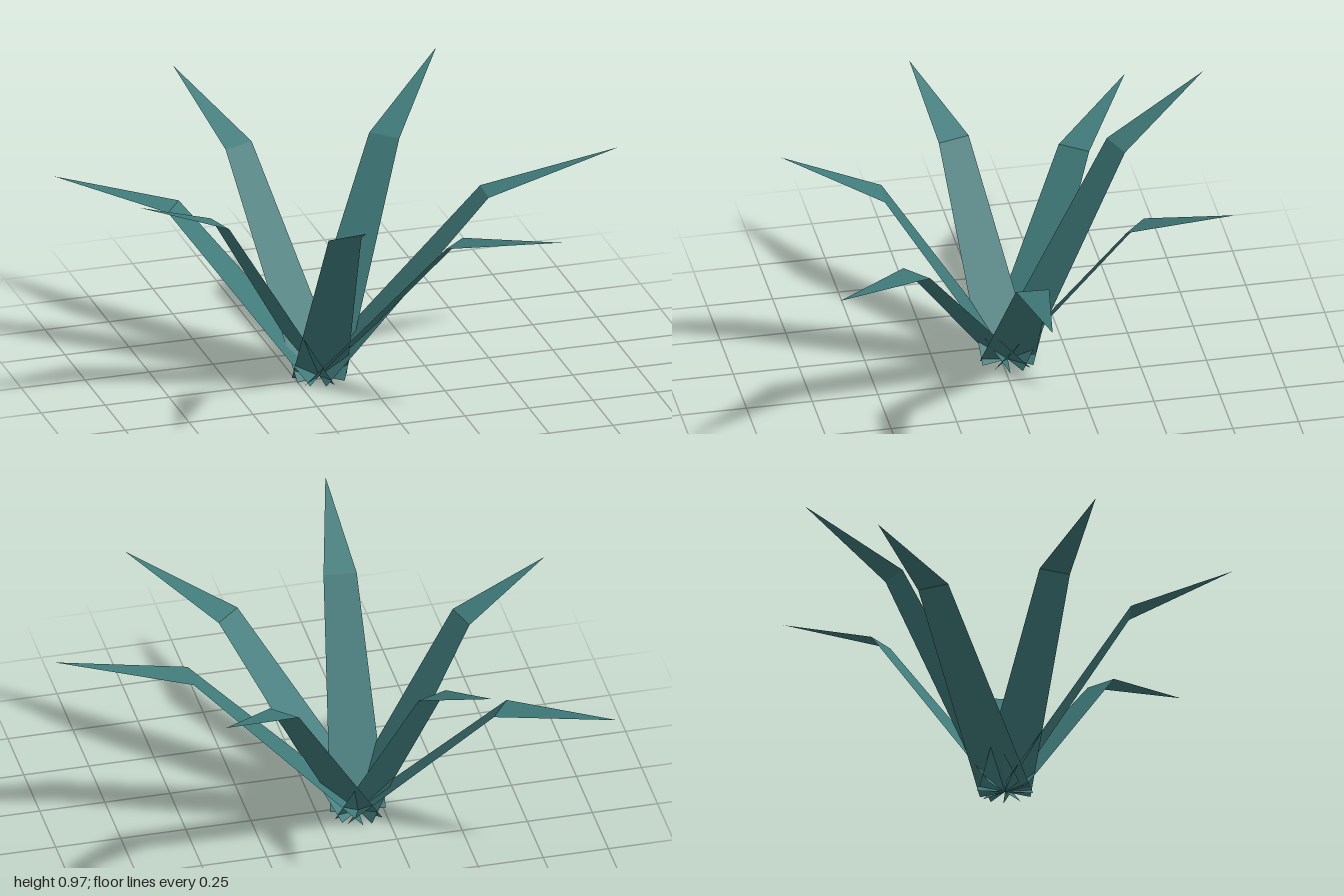
import * as THREE from 'three';

// Shared root point of all blades
const ROOT = new THREE.Vector3(-0.155, 0, -0.025);
const BASE_HALF = 0.105;
const BEND_HALF = 0.0625;

// One flat blade: tapering stalk up to a crease, then a pointed tip
function bladeGeometry(bend, tip) {
  const dir = tip.clone().sub(ROOT).setY(0).normalize();
  const side = new THREE.Vector3(-dir.z, 0, dir.x);
  const at = (p, w) => p.clone().addScaledVector(side, w);
  const a = at(ROOT, -BASE_HALF), b = at(ROOT, BASE_HALF);
  const c = at(bend, BEND_HALF), d = at(bend, -BEND_HALF);
  const geometry = new THREE.BufferGeometry().setFromPoints([a, c, b, a, d, c, d, tip, c]);
  geometry.computeVertexNormals();
  return geometry;
}

export function createModel() {
  const group = new THREE.Group();
  group.name = 'spikyPlant';
  const leafGreen = new THREE.MeshStandardMaterial({ color: 0x407a7a, side: THREE.DoubleSide, flatShading: true });
  leafGreen.name = 'leafTeal';

  // name, crease midpoint, tip
  const blades = [
    ['leftBlade', [0.48, 0.68, 0.008], [0.995, 0.805, 0.035]],
    ['frontLeftBlade', [0.24, 0.66, 0.40], [0.55, 0.767, 0.752]],
    ['frontBlade', [-0.2, 0.75, 0.44], [-0.237, 0.932, 0.822]],
    ['frontRightBlade', [-0.58, 0.72, 0.095], [-0.925, 0.87, 0.195]],
    ['backRightBlade', [-0.617, 0.605, -0.37], [-1.0, 0.667, -0.64]],
    ['backBlade', [-0.33, 0.775, -0.472], [-0.473, 0.97, -0.832]],
    ['backLeftBlade', [0.227, 0.76, -0.433], [0.53, 0.948, -0.753]],
  ];
  for (const [name, bend, tip] of blades) {
    const mesh = new THREE.Mesh(bladeGeometry(new THREE.Vector3(...bend), new THREE.Vector3(...tip)), leafGreen);
    mesh.name = name;
    group.add(mesh);
  }
  return group;
}
